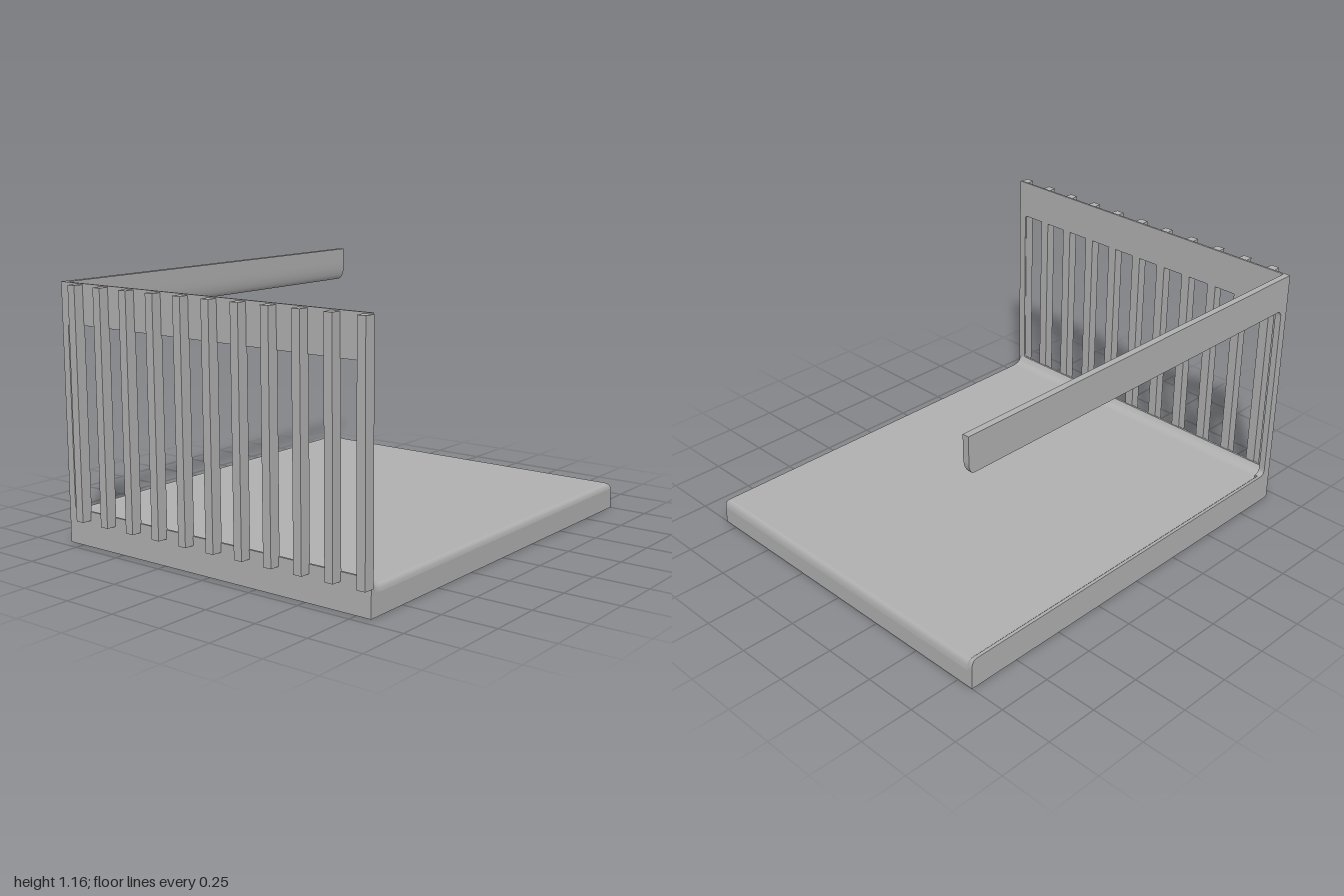
import * as THREE from 'three';

const L = -0.83, R = 0.82, BACK = -1, FRONT = 0.955, TOP = 1.16;

// Box whose vertices are placed by a rule of (u, v, w), each 0..1
function warpedBox(nx, ny, nz, rule) {
  const g = new THREE.BoxGeometry(1, 1, 1, nx, ny, nz);
  const p = g.attributes.position;
  for (let i = 0; i < p.count; i++) {
    p.setXYZ(i, ...rule(p.getX(i) + 0.5, p.getY(i) + 0.5, p.getZ(i) + 0.5));
  }
  g.computeVertexNormals();
  return g;
}

// Quarter-round drop at distance d from an edge
function roundDrop(d, width, height) {
  const t = Math.min(1, Math.max(0, 1 - d / width));
  return height * (1 - Math.sqrt(1 - t * t));
}

function roundedRect(path, x0, y0, x1, y1, r) {
  path.moveTo(x0 + r, y0);
  path.lineTo(x1 - r, y0);
  path.quadraticCurveTo(x1, y0, x1, y0 + r);
  path.lineTo(x1, y1 - r);
  path.quadraticCurveTo(x1, y1, x1 - r, y1);
  path.lineTo(x0 + r, y1);
  path.quadraticCurveTo(x0, y1, x0, y1 - r);
  path.lineTo(x0, y0 + r);
  path.quadraticCurveTo(x0, y0, x0 + r, y0);
  return path;
}

export function createModel() {
  const model = new THREE.Group();
  model.name = 'slattedPlatform';
  const grey = new THREE.MeshStandardMaterial({ color: 0xb0b0b0 });
  grey.name = 'plain grey';
  const add = (name, geometry) => {
    const mesh = new THREE.Mesh(geometry, grey);
    mesh.name = name;
    model.add(mesh);
    return mesh;
  };

  // Floor slab: rounded at the back and left edges, rising to a lip and a front cove
  const xs = [L, -0.815, -0.808, -0.8, 0.4, 0.797, 0.806, 0.813, 0.818, R];
  const zs = [BACK, -0.998, -0.993, -0.986, -0.975, 0, 0.88, 0.9, 0.92, 0.935, 0.946];
  const slabTop = (x, z) => {
    const lip = x < -0.8 ? 0.015 * Math.min(1, (-0.8 - x) / 0.015) : 0;
    const cove = roundDrop(0.946 - z, 0.066, 0.035);
    const drop = Math.max(roundDrop(z - BACK, 0.025, 0.045), roundDrop(R - x, 0.023, 0.03));
    return 0.125 + Math.max(lip, cove) - drop;
  };
  add('floorSlab', warpedBox(xs.length - 1, 1, zs.length - 1, (u, v, w) => {
    const x = xs[Math.round(u * (xs.length - 1))];
    const z = zs[Math.round(w * (zs.length - 1))];
    return [x, v > 0.5 ? slabTop(x, z) : 0, z];
  }));

  // Front frame: thin plate with one large opening
  const plate = new THREE.Shape();
  plate.moveTo(L, 0);
  plate.lineTo(R, 0);
  plate.lineTo(R, TOP);
  plate.lineTo(L, TOP);
  plate.closePath();
  plate.holes.push(roundedRect(new THREE.Path(), -0.795, 0.16, 0.785, 0.98, 0.015));
  const frame = new THREE.ExtrudeGeometry(plate, { depth: 0.01, bevelEnabled: false, curveSegments: 5 });
  add('frontFrame', frame.translate(0, 0, FRONT - 0.01));

  // Corner post with fillets into the lip and the side rail
  const post = new THREE.Shape();
  post.moveTo(0.95, 0.12);
  post.lineTo(0.95, 1.04);
  post.lineTo(0.885, 1.04);
  post.lineTo(0.885, 1.0);
  post.quadraticCurveTo(0.915, 1.0, 0.915, 0.97);
  post.lineTo(0.915, 0.17);
  post.quadraticCurveTo(0.915, 0.14, 0.885, 0.14);
  post.lineTo(0.885, 0.12);
  post.closePath();
  const postGeometry = new THREE.ExtrudeGeometry(post, { depth: 0.03, bevelEnabled: false, curveSegments: 5 });
  add('cornerPost', postGeometry.rotateY(-Math.PI / 2).translate(-0.8, 0, 0));

  // Side rail: inner face curves thinner toward the bottom, lower back corner rounded
  const railZ = [BACK, -0.998, -0.993, -0.985, -0.975, 0.95];
  add('sideRail', warpedBox(1, 8, railZ.length - 1, (u, v, w) => {
    const z = railZ[Math.round(w * (railZ.length - 1))];
    const bottom = 1.0 + roundDrop(z - BACK, 0.025, 0.045);
    const y = bottom + (TOP - bottom) * v * v;
    const thickness = 0.03 - roundDrop(y - 1.0, 0.08, 0.02);
    return [L + u * thickness, y, z];
  }));

  // Upright slats on the front, slightly narrower at their outer face
  const slat = warpedBox(1, 1, 1, (u, v, w) => [
    (u - 0.5) * (w > 0.5 ? 0.04 : 0.045), 0.12 + v * 1.035, 0.95 + w * 0.05,
  ]);
  for (let i = 0; i < 11; i++) {
    add('slat' + (i + 1), slat).position.x = -0.72 + i * 0.1525;
  }

  return model;
}
